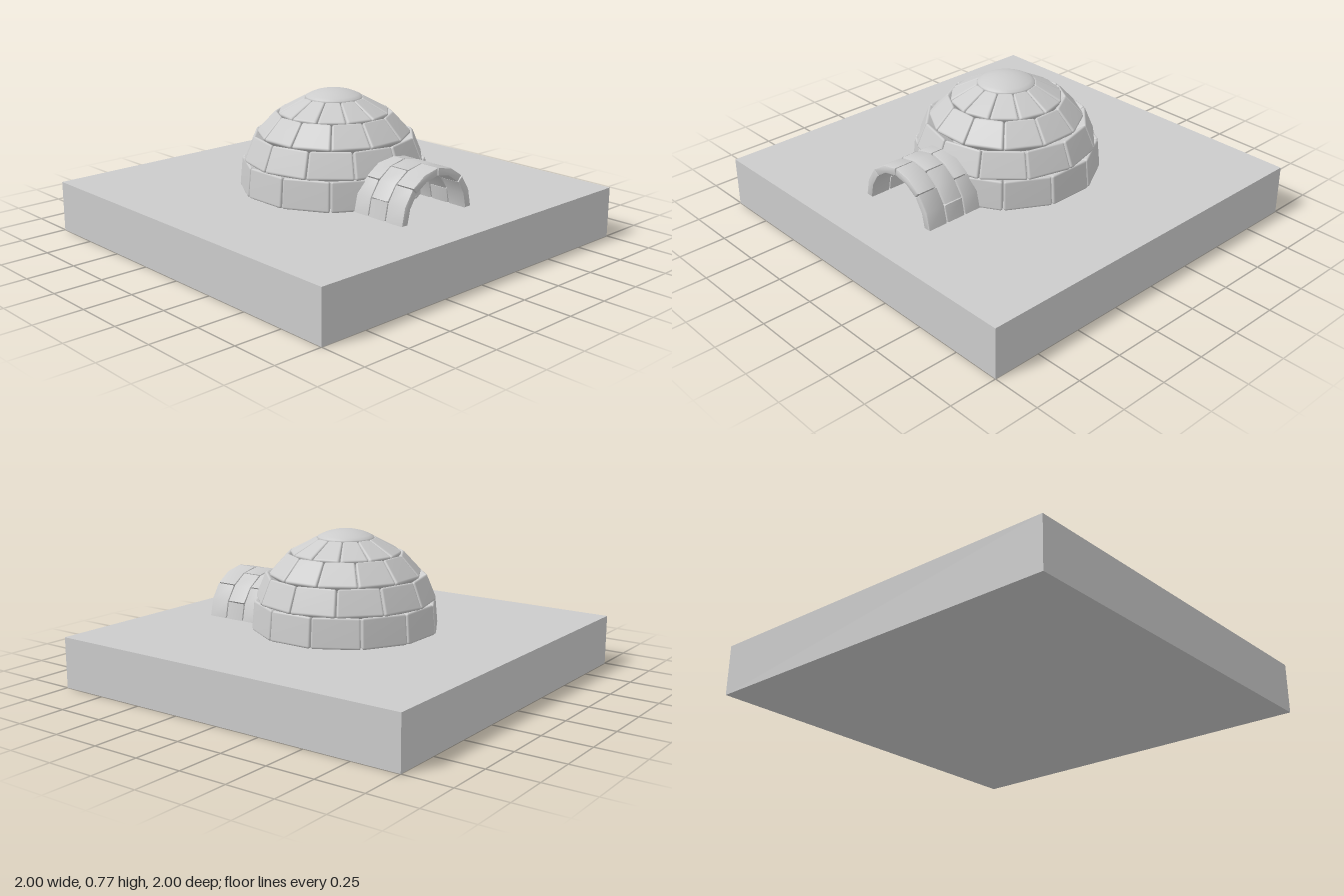
import * as THREE from 'three';
import { RoundedBoxGeometry } from 'three/addons/geometries/RoundedBoxGeometry.js';
import { mergeVertices, toCreasedNormals } from 'three/addons/utils/BufferGeometryUtils.js';

const GROUND = 0.262;
const material = new THREE.MeshStandardMaterial({ color: 0xcccccc });

function addMesh(parent, geometry, name) {
  const mesh = new THREE.Mesh(geometry, material);
  mesh.name = name;
  parent.add(mesh);
  return mesh;
}

// Soft-edged snow block: a rounded box reshaped between two radii and heights,
// narrowing towards the middle of the dome floor
function domeBlock(halfAngle, r0, y0, r1, y1) {
  const w = 2 * Math.sin(halfAngle) * (r0 + r1) / 2;
  const h = Math.hypot(r1 - r0, y1 - y0);
  const d = 0.09;
  const box = new RoundedBoxGeometry(w, h, d, 2, 0.013);
  box.deleteAttribute('normal');
  box.deleteAttribute('uv');
  const geometry = mergeVertices(box, 1e-4);
  const p = geometry.attributes.position;
  for (let i = 0; i < p.count; i++) {
    const side = 2 * p.getX(i) / w;
    const up = p.getY(i) / h + 0.5;
    const inward = 0.5 - p.getZ(i) / d;
    const scale = 1 - 0.2 * inward;
    const r = THREE.MathUtils.lerp(r0, r1, up) * scale;
    const y = THREE.MathUtils.lerp(y0, y1, up) * scale;
    p.setXYZ(i, side * r * Math.sin(halfAngle), y, r * Math.cos(halfAngle));
  }
  geometry.computeVertexNormals();
  return geometry;
}

// Curved block of the entrance arch, extruded along x
function archBlock(a0, a1, length) {
  const bevel = 0.007, outer = 0.24 - bevel, inner = 0.2 + bevel;
  const gap = 0.002 + bevel;
  const s0 = a0 + gap / outer, s1 = a1 - gap / outer;
  const steps = Math.max(1, Math.round((a1 - a0) / (Math.PI / 8)));
  const points = [];
  for (let i = 0; i <= steps; i++) {
    const t = s0 + (s1 - s0) * i / steps;
    points.push(new THREE.Vector2(outer * Math.cos(t), outer * Math.sin(t)));
  }
  for (let i = steps; i >= 0; i--) {
    const t = s0 + (s1 - s0) * i / steps;
    points.push(new THREE.Vector2(inner * Math.cos(t), inner * Math.sin(t)));
  }
  const geometry = new THREE.ExtrudeGeometry(new THREE.Shape(points), {
    depth: length - 2 * bevel, bevelEnabled: true,
    bevelThickness: bevel, bevelSize: bevel, bevelSegments: 2,
  });
  geometry.translate(0, 0, bevel);
  geometry.rotateY(Math.PI / 2);
  return toCreasedNormals(geometry, 0.6);
}

export function createModel() {
  const model = new THREE.Group();
  model.name = 'igloo';

  // Slab of ground
  const ground = addMesh(model, new THREE.BoxGeometry(2, GROUND, 2), 'ground');
  ground.position.y = GROUND / 2;

  // Dome: four staggered courses of twelve blocks
  const dome = new THREE.Group();
  dome.name = 'dome';
  dome.position.y = GROUND;
  model.add(dome);
  const count = 12;
  const courses = [ // bottom radius, bottom height, top radius, top height
    [0.485, 0, 0.47, 0.157],
    [0.467, 0.155, 0.412, 0.288],
    [0.397, 0.286, 0.295, 0.396],
    [0.29, 0.394, 0.145, 0.471],
  ];
  courses.forEach((course, row) => {
    const geometry = domeBlock(Math.PI / count - 0.004, ...course);
    for (let i = 0; i < count; i++) {
      const block = addMesh(dome, geometry, `domeBlockRow${row + 1}`);
      block.rotation.y = (i + (row % 2) / 2) * 2 * Math.PI / count;
    }
  });

  // Rounded cap stone
  const capProfile = [[0, 0.4], [0.12, 0.4], [0.14, 0.455], [0.146, 0.463], [0.143, 0.472],
    [0.125, 0.482], [0.095, 0.494], [0.06, 0.503], [0.03, 0.507], [0, 0.508]];
  addMesh(dome, new THREE.LatheGeometry(
    capProfile.map(([r, y]) => new THREE.Vector2(r, y)), 32), 'capStone');

  // Entrance tunnel: three arches with staggered joints
  const tunnel = new THREE.Group();
  tunnel.name = 'entranceTunnel';
  tunnel.position.y = GROUND;
  model.add(tunnel);
  const even = [0, 2, 4, 6, 8], odd = [0, 1, 3, 5, 7, 8];
  [[0.385, 0.494, even], [0.497, 0.605, odd], [0.608, 0.718, even]].forEach(([x0, x1, joints]) => {
    for (let i = 0; i < joints.length - 1; i++) {
      const geometry = archBlock(joints[i] * Math.PI / 8, joints[i + 1] * Math.PI / 8, x1 - x0);
      addMesh(tunnel, geometry, 'archBlock').position.x = x0;
    }
  });

  return model;
}
